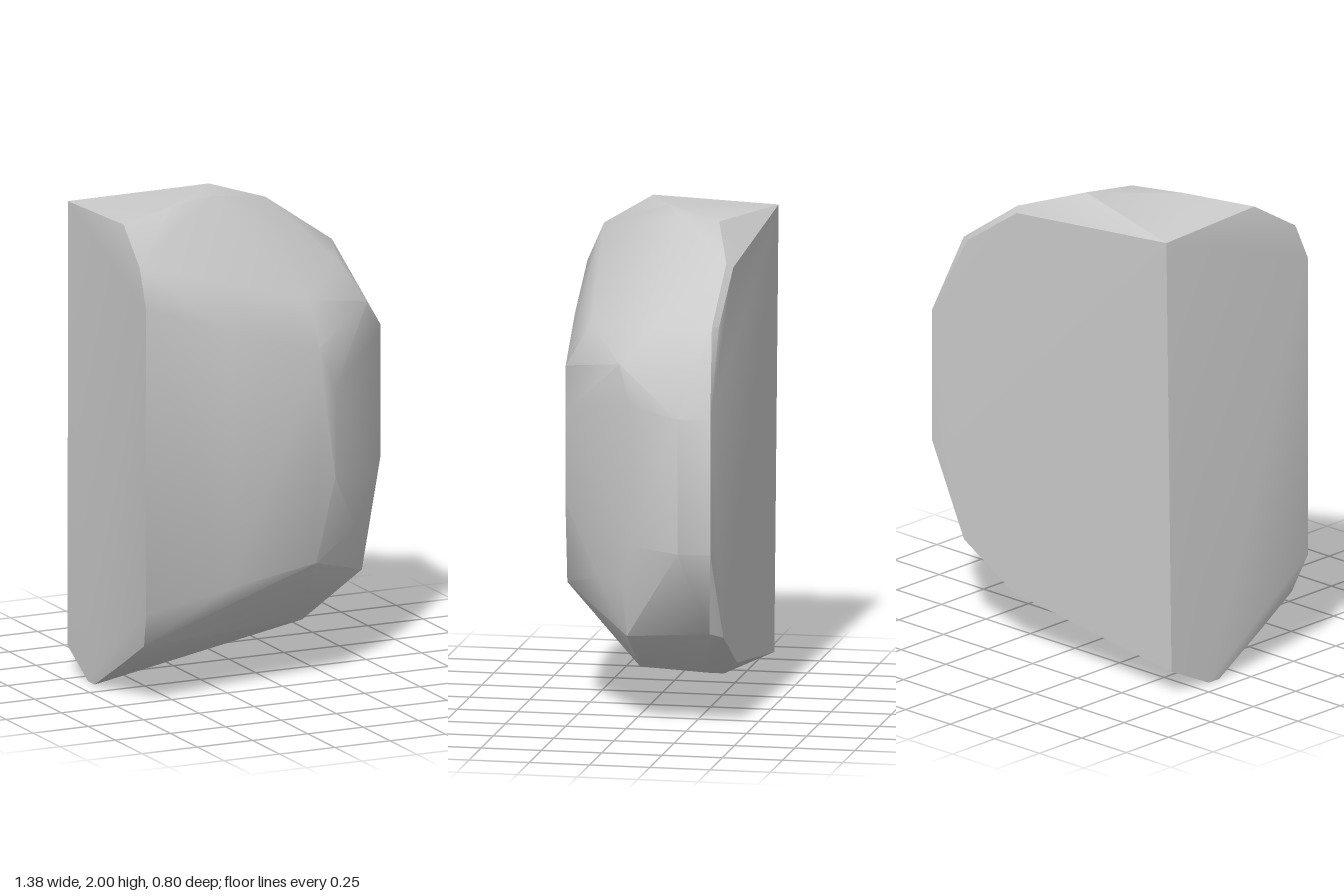
import * as THREE from 'three';
import { ConvexGeometry } from 'three/addons/geometries/ConvexGeometry.js';
import { toCreasedNormals } from 'three/addons/utils/BufferGeometryUtils.js';

export function createModel() {
  const group = new THREE.Group();
  group.name = 'rock';
  const stone = new THREE.MeshStandardMaterial({ color: 0xcccccc });
  stone.name = 'stone grey';

  // Corners of the boulder, region by region
  const corners = [
    // flat split side
    [-0.69, 0.41, 0.4], [-0.69, 1.69, 0.4], [-0.685, 1.85, 0.33], [-0.655, 1.98, 0.12],
    [-0.655, 1.96, -0.4], [-0.665, 0.1, -0.38], [-0.675, 0, -0.17], [-0.675, 0, -0.11],
    [-0.67, 0.145, 0.14], [-0.665, 0.26, 0.33],
    // crown
    [-0.38, 2, 0], [-0.16, 2, -0.08], [-0.08, 2, -0.27], [0.22, 1.89, -0.36],
    [0.52, 1.68, -0.36], [0.43, 1.65, -0.1], [0.13, 1.6, 0.22],
    // broad front
    [-0.3, 1.55, 0.373], [-0.3, 0.47, 0.373], [0.13, 1.42, 0.325], [0.12, 0.52, 0.32],
    // front chamfer
    [0.21, 1.24, 0.31], [0.21, 0.87, 0.31], [0.38, 0.6, 0.14], [0.5, 0.6, 0.02],
    [0.56, 0.77, -0.03], [0.56, 1.35, -0.03], [0.49, 1.51, 0.03],
    // outer edge
    [0.685, 0.77, -0.25], [0.685, 1.33, -0.25], [0.675, 0.77, -0.385], [0.675, 1.33, -0.385],
    // flat back
    [0.2, 1.87, -0.385], [0.48, 1.68, -0.382], [0.48, 0.39, -0.4], [0.2, 0.23, -0.4],
    // underside
    [0.52, 0.41, -0.35], [0.48, 0.38, 0], [0.38, 0.305, -0.03], [0.21, 0.2, 0],
    [0.21, 0.2, -0.25],
  ].map((c) => new THREE.Vector3(...c));

  // Rounded shading across gentle corners, sharp at the split faces
  const geometry = toCreasedNormals(new ConvexGeometry(corners), 0.6);
  const boulder = new THREE.Mesh(geometry, stone);
  boulder.name = 'boulder';
  group.add(boulder);
  return group;
}
